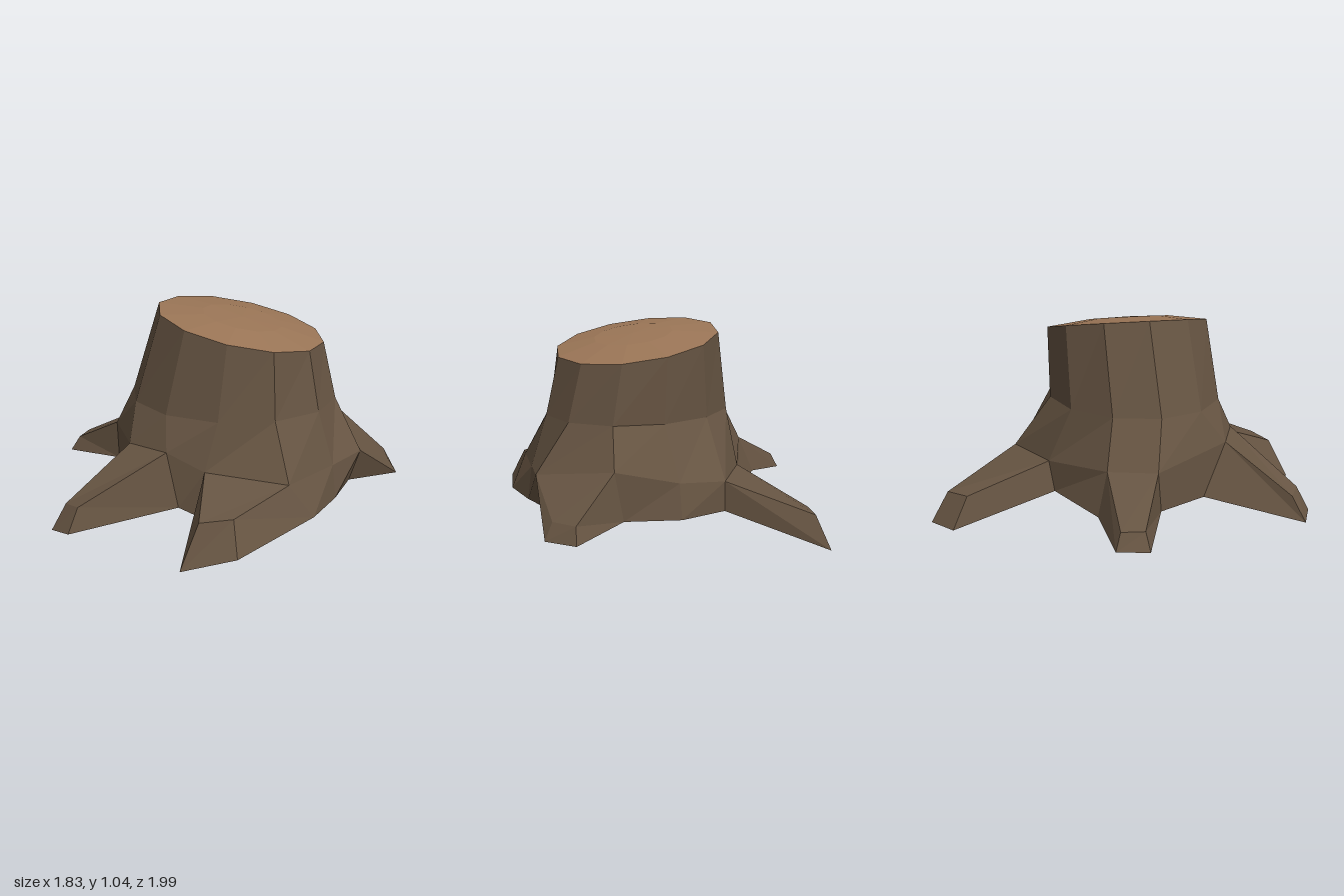
import * as THREE from 'three';

const SIDES = 12;

// Points around an ellipse, from +x towards +z; height comes from a rule
function ring(cx, cz, rx, rz, height) {
  return Array.from({ length: SIDES }, (_, k) => {
    const a = (k / SIDES) * Math.PI * 2;
    const x = cx + rx * Math.cos(a), z = cz + rz * Math.sin(a);
    return [x, height(x), z];
  });
}

// Faces with three or four corners become a flat-shaded mesh
function facesMesh(name, faces, material) {
  const pos = [];
  for (const f of faces) {
    for (let i = 1; i < f.length - 1; i++) pos.push(...f[0], ...f[i], ...f[i + 1]);
  }
  const geo = new THREE.BufferGeometry();
  geo.setAttribute('position', new THREE.Float32BufferAttribute(pos, 3));
  geo.computeVertexNormals();
  const mesh = new THREE.Mesh(geo, material);
  mesh.name = name;
  return mesh;
}

export function createModel() {
  const bark = new THREE.MeshStandardMaterial({ color: 0x665442, flatShading: true, side: THREE.DoubleSide });
  bark.name = 'bark';
  const wood = new THREE.MeshStandardMaterial({ color: 0x9a7556, flatShading: true, side: THREE.DoubleSide });
  wood.name = 'cut wood';

  const group = new THREE.Group();
  group.name = 'treeStump';

  // Trunk cross-sections, from the slanted cut down to the open underside
  const slant = (x) => 0.955 - 0.202 * (x - 0.08);
  const top = ring(0.08, 0.075, 0.42, 0.425, slant);
  const waist = ring(0.045, 0.1, 0.525, 0.45, () => 0.59);
  const shoulder = [
    [0.71, 0.345, 0.19], [0.58, 0.33, 0.36], [0.39, 0.325, 0.61], [-0.01, 0.355, 0.6],
    [-0.2, 0.43, 0.57], [-0.41, 0.42, 0.46], [-0.6, 0.36, 0.05], [-0.52, 0.36, -0.18],
    [-0.165, 0.31, -0.4], [0.14, 0.31, -0.53], [0.36, 0.33, -0.42], [0.6, 0.4, -0.22],
  ];
  const foot = [
    [0.66, 0.15], [0.6, 0.37], [0.51, 0.59], [-0.05, 0.66], [-0.14, 0.6], [-0.47, 0.33],
    [-0.59, 0.07], [-0.58, -0.24], [-0.21, -0.38], [0.14, -0.53], [0.38, -0.45], [0.57, -0.25],
  ].map(([x, z]) => [x, 0.16, z]);

  // Each root grows from one side of the foot band; tip corners run
  // upper, next upper, next lower, lower
  const roots = [
    { name: 'frontRoot', side: 2,
      tip: [[0.17, 0.26, 0.86], [0.02, 0.25, 0.9], [-0.05, 0.05, 0.99], [0.2, 0.105, 0.94]] },
    { name: 'frontRightRoot', side: 4,
      tip: [[-0.58, 0.215, 0.78], [-0.66, 0.2, 0.72], [-0.72, 0.08, 0.77], [-0.615, 0.1, 0.835]] },
    { name: 'rightRoot', side: 6,
      tip: [[-0.87, 0.2, -0.09], [-0.85, 0.2, -0.2], [-0.88, 0.12, -0.23], [-0.92, 0.12, -0.08]] },
    { name: 'backRoot', side: 8,
      tip: [[-0.17, 0.16, -0.82], [-0.08, 0.16, -0.91], [-0.08, 0, -1], [-0.21, 0, -0.9]] },
    { name: 'leftRoot', side: 11,
      tip: [[0.84, 0.2, -0.2], [0.86, 0.2, -0.07], [0.91, 0.12, -0.07], [0.87, 0.12, -0.23]] },
  ];

  const band = (upper, lower, k) => {
    const n = (k + 1) % SIDES;
    return [upper[k], upper[n], lower[n], lower[k]];
  };

  // Bark walls, left open where a root leaves the trunk
  const walls = [];
  for (let k = 0; k < SIDES; k++) {
    walls.push(band(top, waist, k), band(waist, shoulder, k));
    if (!roots.some((r) => r.side === k)) walls.push(band(shoulder, foot, k));
  }
  group.add(facesMesh('trunk', walls, bark));

  // Roots: four tapering sides and an end face
  for (const { name, side, tip } of roots) {
    const base = band(shoulder, foot, side);
    const faces = [tip];
    for (let i = 0; i < 4; i++) {
      const j = (i + 1) % 4;
      faces.push([base[i], base[j], tip[j], tip[i]]);
    }
    group.add(facesMesh(name, faces, bark));
  }

  // Slightly domed cut surface
  const inner = ring(0.09, 0.09, 0.2, 0.21, (x) => slant(x) + 0.03);
  const centre = [0.09, slant(0.09) + 0.035, 0.09];
  const cut = [];
  for (let k = 0; k < SIDES; k++) {
    cut.push(band(inner, top, k), [centre, inner[(k + 1) % SIDES], inner[k]]);
  }
  group.add(facesMesh('cutTop', cut, wood));

  return group;
}
